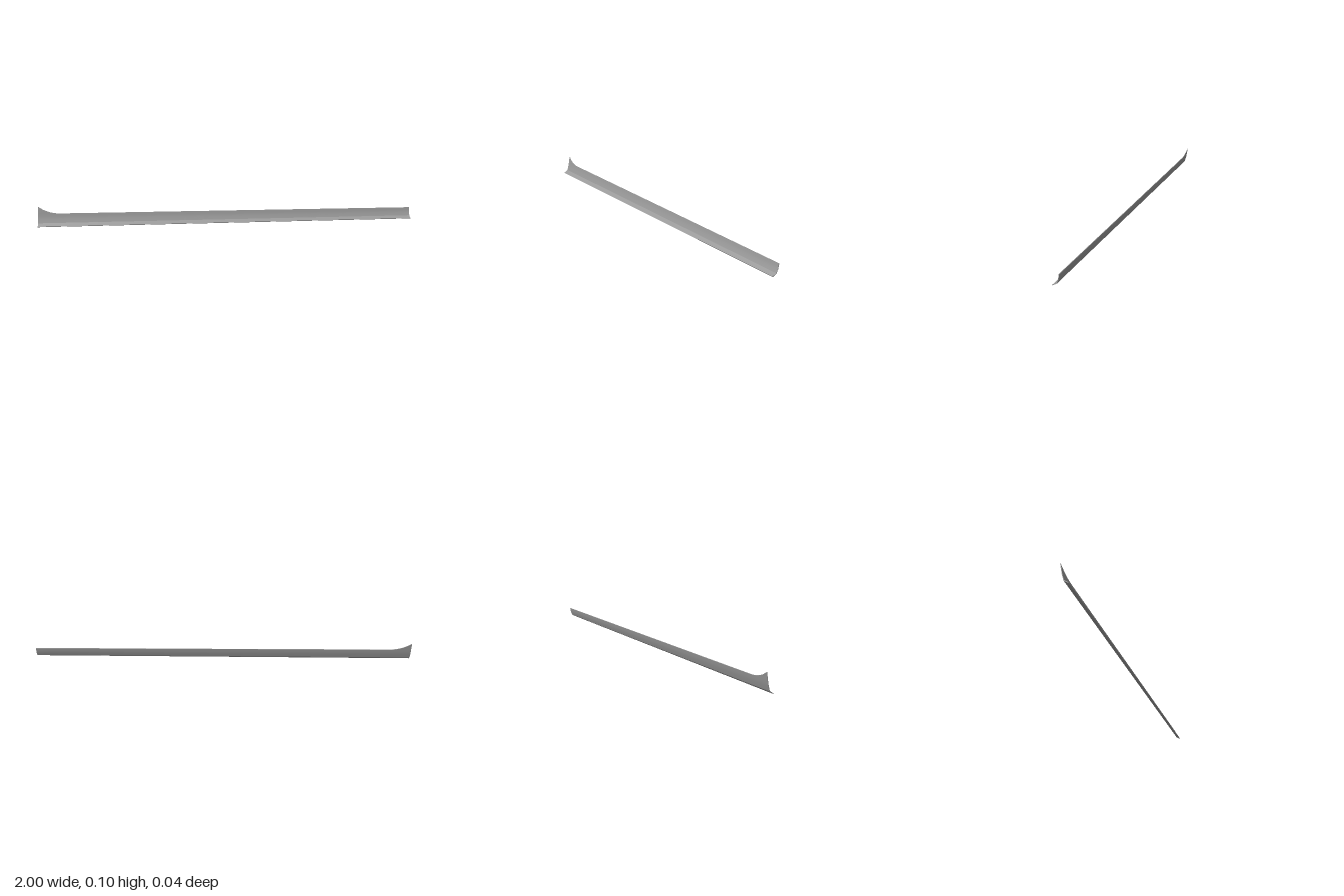
import * as THREE from 'three';
import { toCreasedNormals } from 'three/addons/utils/BufferGeometryUtils.js';

// Front face cross-sections as [z, y]: lip edge, crease, then up the panel, at both ends
const RIGHT_END = [[0.022, 0.004], [0.001, 0.018], [-0.005, 0.038], [-0.0085, 0.052], [-0.011, 0.066]];
const LEFT_END = [[0.015, 0.01], [-0.005, 0.021], [-0.0115, 0.037], [-0.0145, 0.05], [-0.0165, 0.063]];
const THICKNESS = 0.0028;
const FLARE_LENGTH = 0.12;
const FLARE_HEIGHT = 0.037;

// Stations along the length, closer together through the flared end
const stations = [];
for (let i = 0; i < 12; i++) stations.push(-1 + (FLARE_LENGTH * i) / 12);
for (let i = 0; i <= 20; i++) stations.push(-1 + FLARE_LENGTH + ((2 - FLARE_LENGTH) * i) / 20);

const flareAt = (x) => FLARE_HEIGHT * Math.pow(Math.max(0, 1 - (x + 1) / FLARE_LENGTH), 2.3);

// Front face points at x; the upper edge sweeps up and slightly back at the flared end
function frontSection(x) {
  const t = (x + 1) / 2;
  const section = RIGHT_END.map(([z, y], i) => [
    THREE.MathUtils.lerp(z, LEFT_END[i][0], t),
    THREE.MathUtils.lerp(y, LEFT_END[i][1], t),
  ]);
  const [z, y] = section[section.length - 1];
  const rise = flareAt(x) + 0.0005;
  section.push([z - rise * 0.18, y + rise]);
  return section;
}

// Back face points: the front ones pushed back across the sheet
function backSection(front) {
  return front.map(([z, y], i) => {
    const before = front[Math.max(0, i - 1)];
    const after = front[Math.min(front.length - 1, i + 1)];
    const dz = after[0] - before[0];
    const dy = after[1] - before[1];
    const length = Math.hypot(dz, dy);
    return [z - (THICKNESS * dy) / length, y + (THICKNESS * dz) / length];
  });
}

// Closed thin shell lofted through the stations
function shellGeometry() {
  const positions = [];
  const indices = [];
  const rows = RIGHT_END.length + 1;
  const ring = rows * 2;
  const quad = (a, b, c, d) => indices.push(a, b, c, a, c, d);

  stations.forEach((x, s) => {
    const front = frontSection(x);
    const loop = [...front, ...backSection(front).reverse()];
    loop.forEach(([z, y]) => positions.push(x, y, z));
    if (s === 0) return;
    for (let r = 0; r < ring; r++) {
      const next = (r + 1) % ring;
      const a = (s - 1) * ring;
      const b = s * ring;
      quad(a + r, b + r, b + next, a + next);
    }
  });

  // end caps
  const last = (stations.length - 1) * ring;
  for (let r = 0; r < rows - 1; r++) {
    const back = ring - 1 - r;
    quad(r, r + 1, back - 1, back);
    quad(last + r, last + back, last + back - 1, last + r + 1);
  }

  const geometry = new THREE.BufferGeometry();
  geometry.setAttribute('position', new THREE.Float32BufferAttribute(positions, 3));
  geometry.setIndex(indices);
  return toCreasedNormals(geometry, 0.5);
}

export function createModel() {
  const group = new THREE.Group();
  group.name = 'sideSkirt';

  // Curved panel with a creased lower lip and one flared end
  const material = new THREE.MeshStandardMaterial({ color: 0x999999 });
  const panel = new THREE.Mesh(shellGeometry(), material);
  panel.name = 'skirtPanel';
  group.add(panel);
  return group;
}
